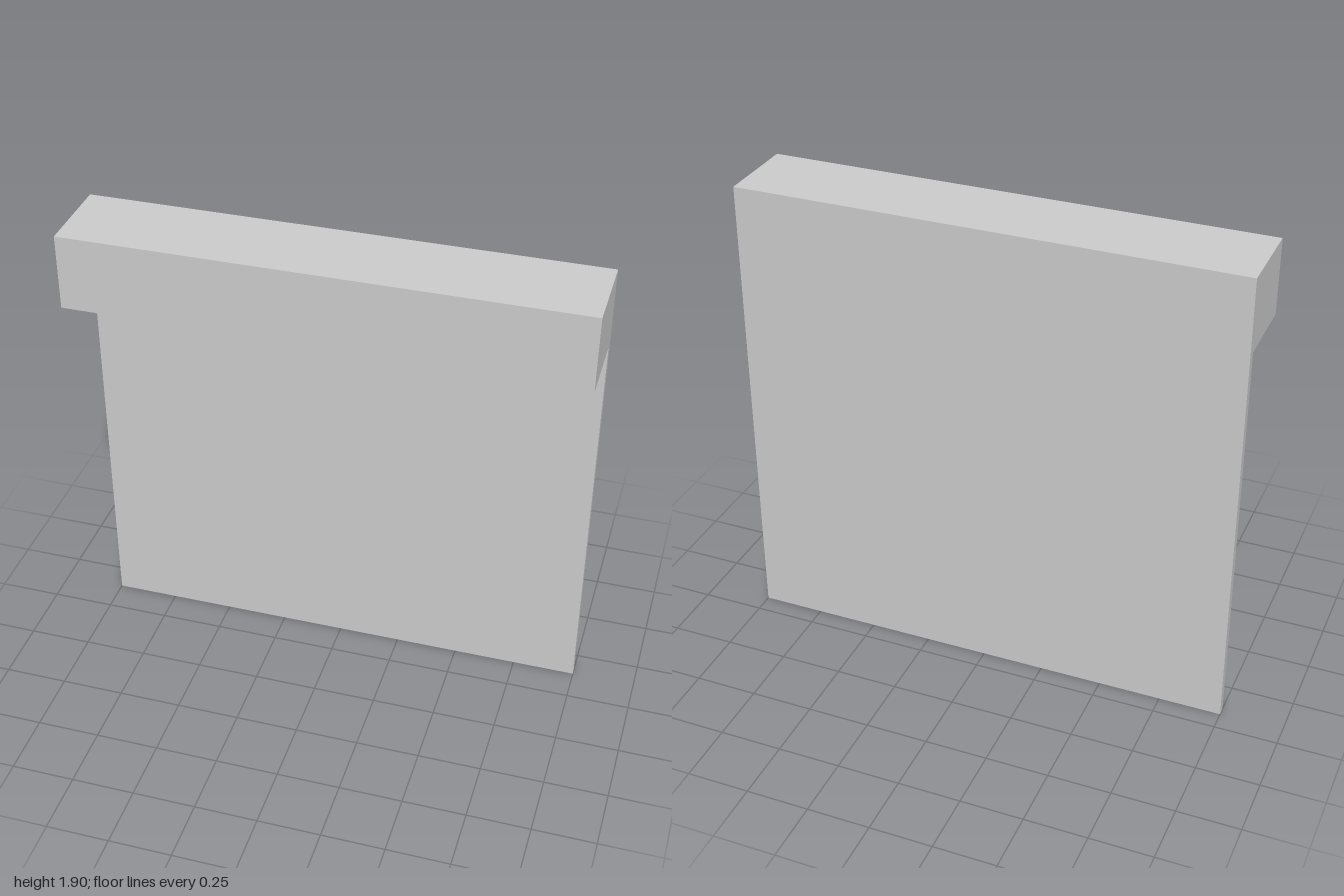
import * as THREE from 'three';

export function createModel() {
  const model = new THREE.Group();

  const width = 2, height = 1.9, halfDepth = 0.17;
  const ledgeBottom = 1.6, panelThickness = 0.035;

  // Side profile (depth, height): thin back panel with a boxed ledge at the top
  const back = -halfDepth, panelFront = back + panelThickness;
  const profile = new THREE.Shape([
    [back, 0], [panelFront, 0], [panelFront, ledgeBottom],
    [halfDepth, ledgeBottom], [halfDepth, height], [back, height],
  ].map(([z, y]) => new THREE.Vector2(-z, y)));

  // Run the profile across the full width
  const geometry = new THREE.ExtrudeGeometry(profile, { depth: width, bevelEnabled: false });
  geometry.translate(0, 0, -width / 2);
  geometry.rotateY(Math.PI / 2);

  const panel = new THREE.Mesh(
    geometry,
    new THREE.MeshStandardMaterial({ color: 0xcccccc, flatShading: true }),
  );
  panel.name = 'panelWithTopLedge';
  model.add(panel);

  return model;
}
